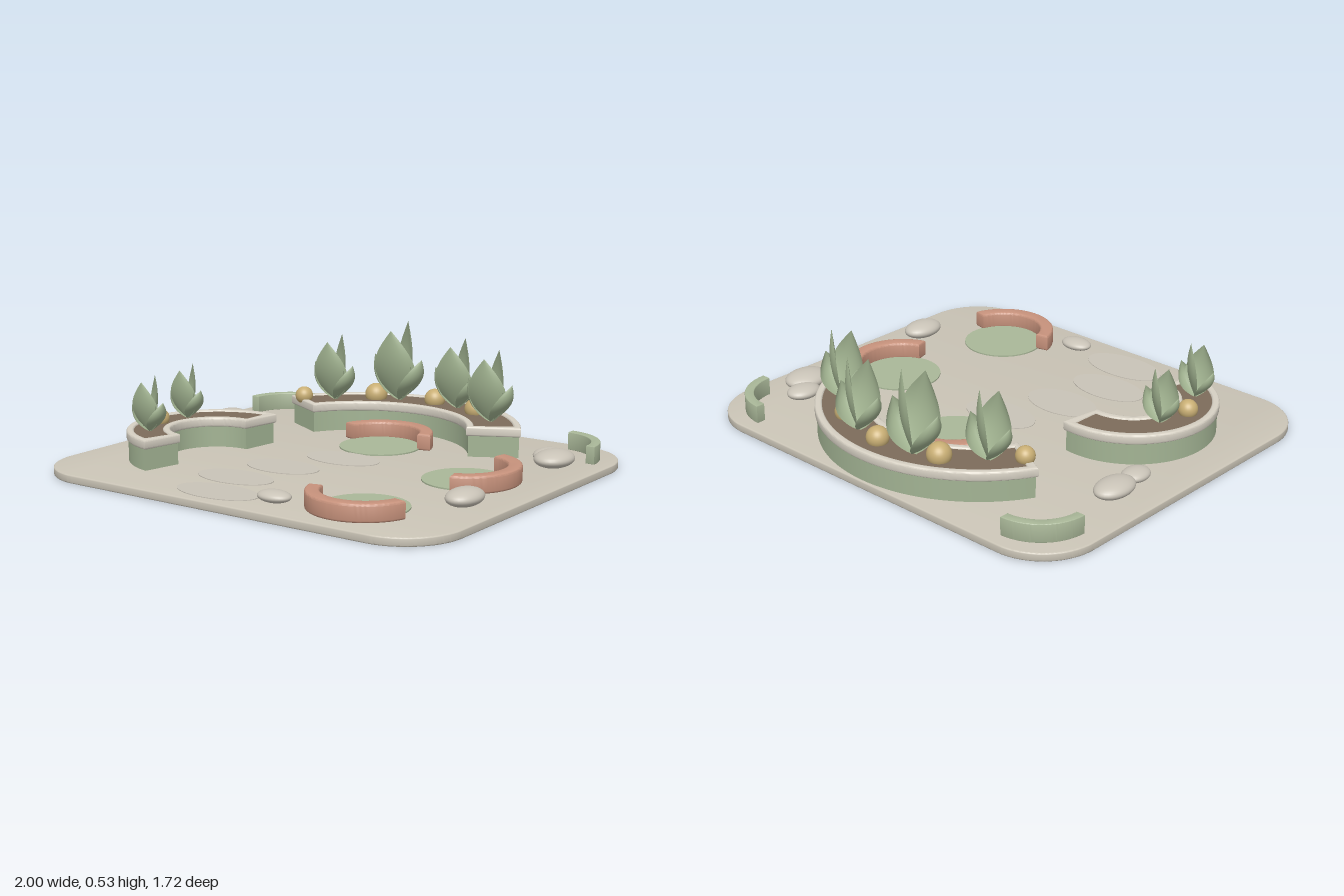
import * as THREE from 'three';
import { toCreasedNormals } from 'three/addons/utils/BufferGeometryUtils.js';

const mat = (name, color, side = THREE.FrontSide) => {
  const m = new THREE.MeshStandardMaterial({ color, side });
  m.name = name;
  return m;
};
const rad = THREE.MathUtils.degToRad;

export function createModel() {
  const M = {
    paving: mat('paving', 0xcac4b6),
    rim: mat('pale rim', 0xd6d0c3),
    stone: mat('stone', 0xc9c3b7),
    sage: mat('sage', 0xa9b798),
    wall: mat('planter green', 0xa3b494),
    leaf: mat('leaf', 0xa3b592, THREE.DoubleSide),
    clay: mat('terracotta', 0xc7927c),
    soil: mat('soil', 0x7d6c5a),
    ochre: mat('ochre', 0xc8ae74),
  };
  const root = new THREE.Group();
  root.name = 'gardenCourt';
  const add = (name, geo, material, x = 0, y = 0, z = 0, parent = root) => {
    const m = new THREE.Mesh(geo, material);
    m.name = name;
    m.position.set(x, y, z);
    parent.add(m);
    return m;
  };

  // Extrude a plan drawn in (x, z) between two heights, with a small bevel
  const slab = (shape, y0, y1, b) => {
    const g = new THREE.ExtrudeGeometry(shape, {
      depth: y1 - y0 - 2 * b, curveSegments: 32, bevelEnabled: b > 0,
      bevelThickness: b, bevelSize: b, bevelOffset: -b, bevelSegments: 3,
    });
    g.rotateX(Math.PI / 2).translate(0, y1 - b, 0);
    return toCreasedNormals(g, 0.6);
  };
  // Ring sector: angles in degrees from +x towards +z, shrunk by inset on all sides
  const sector = (r, R, a0, a1, inset = 0) => {
    const da = inset / ((r + R) / 2), s = rad(a0) + da, e = rad(a1) - da;
    const p = new THREE.Shape();
    p.absarc(0, 0, R - inset, s, e, false);
    p.absarc(0, 0, r + inset, e, s, true);
    p.closePath();
    return p;
  };

  // Paved base with rounded corners
  const X = 1, Z = 0.862, C = 0.26, base = new THREE.Shape();
  base.absarc(X - C, Z - C, C, 0, Math.PI / 2);
  base.absarc(C - X, Z - C, C, Math.PI / 2, Math.PI);
  base.absarc(C - X, C - Z, C, Math.PI, Math.PI * 1.5);
  base.absarc(X - C, C - Z, C, Math.PI * 1.5, Math.PI * 2);
  base.closePath();
  add('base', slab(base, 0, 0.036, 0.006), M.paving);

  // Curved planters: wall, rim frame and soil
  const planter = (name, x, z, r, R, a0, a1) => {
    const g = new THREE.Group();
    g.name = name;
    g.position.set(x, 0, z);
    root.add(g);
    add('planterWall', slab(sector(r, R, a0, a1, 0.008), 0.034, 0.13, 0), M.wall, 0, 0, 0, g);
    const frame = sector(r, R, a0, a1);
    frame.holes.push(sector(r, R, a0, a1, 0.032));
    add('planterRim', slab(frame, 0.128, 0.17, 0.008), M.rim, 0, 0, 0, g);
    add('planterSoil', slab(sector(r, R, a0, a1, 0.022), 0.129, 0.163, 0), M.soil, 0, 0, 0, g);
  };
  planter('backPlanter', 0, -0.157, 0.467, 0.703, 208, 332);
  planter('sidePlanter', -0.475, 0.262, 0.187, 0.375, 100, 278.5);

  // Round pads, each hugged by a curved bench
  [[0, -0.32, 270], [0.62, -0.033, -2], [0.525, 0.553, 90]].forEach(([x, z, a]) => {
    add('pad', new THREE.CylinderGeometry(0.181, 0.181, 0.02, 48), M.sage, x, 0.032, z);
    add('bench', slab(sector(0.174, 0.235, a - 76, a + 76), 0.034, 0.11, 0.01), M.clay, x, 0, z);
  });

  // Low curved kerbs in the back corners
  add('rightKerb', slab(sector(0.185, 0.225, 180, 270), 0.034, 0.115, 0.003), M.sage, -0.705, 0, -0.575);
  add('leftKerb', slab(sector(0.185, 0.225, 270, 360), 0.034, 0.115, 0.003), M.sage, 0.705, 0, -0.575);

  // Flat stepping stones: x, z, half width, half depth
  [[0, -0.035, 0.178, 0.105], [-0.123, 0.23, 0.175, 0.108],
    [-0.173, 0.485, 0.183, 0.104], [-0.083, 0.71, 0.196, 0.104]].forEach(([x, z, a, b]) => {
    add('steppingStone', new THREE.CylinderGeometry(1, 1, 0.012, 48), M.stone, x, 0.033, z).scale.set(a, 1, b);
  });

  // Rounded boulders: x, y, z, half sizes
  const ball = new THREE.SphereGeometry(1, 32, 20);
  [[-0.83, 0.078, -0.275, 0.07, 0.036, 0.103], [-0.808, 0.065, -0.115, 0.054, 0.027, 0.07],
    [0.75, 0.07, -0.5, 0.062, 0.03, 0.08], [0.825, 0.081, -0.415, 0.082, 0.038, 0.104],
    [0.845, 0.08, 0.335, 0.07, 0.037, 0.098], [0.21, 0.066, 0.717, 0.076, 0.025, 0.054],
  ].forEach(([x, y, z, a, b, c]) => add('boulder', ball, M.stone, x, y, z).scale.set(a, b, c));

  // Ochre globes resting on the soil: x, z, radius
  [[-0.53, -0.465, 0.041], [-0.272, -0.685, 0.052], [0.015, -0.745, 0.048],
    [0.282, -0.668, 0.05], [-0.745, 0.305, 0.042],
  ].forEach(([x, z, r]) => add('globe', ball, M.ochre, x, 0.183, z).scale.setScalar(r));

  // Pointed, cupped leaf growing up from the origin and leaning towards +z
  const leaf = (w, h, lean, cup) => {
    const g = new THREE.PlaneGeometry(1, 1, 8, 16), p = g.attributes.position;
    for (let i = 0; i < p.count; i++) {
      const u = p.getX(i) * 2, v = p.getY(i) + 0.5;
      const half = (w / 2) * (0.12 * (1 - v) + 0.94 * Math.sin(Math.PI * Math.pow(v, 0.88)));
      p.setXYZ(i, u * half, v * h, lean * Math.pow(v, 0.85) + cup * (1 - u * u) * Math.sin(Math.PI * v));
    }
    g.computeVertexNormals();
    return g;
  };
  // Leaves of one plant: name, geometry, yaw in degrees
  const leaves = [
    ['frontLeaf', leaf(0.225, 0.335, 0.075, 0.03), 0],
    ['backLeaf', leaf(0.22, 0.37, 0.04, 0.03), 140],
    ['leftLeaf', leaf(0.15, 0.205, 0.135, 0.04), 82],
    ['rightLeaf', leaf(0.15, 0.205, 0.135, 0.04), -88],
  ];
  // Plants: x, z, size
  [[-0.42, -0.56, 0.83], [-0.165, -0.72, 1], [0.153, -0.72, 0.87], [0.425, -0.56, 0.86],
    [-0.71, 0.16, 0.66], [-0.665, 0.46, 0.66],
  ].forEach(([x, z, s]) => {
    const plant = new THREE.Group();
    plant.name = 'plant';
    plant.position.set(x, 0.163, z);
    plant.scale.setScalar(s);
    root.add(plant);
    leaves.forEach(([name, geo, yaw]) => {
      add(name, geo, M.leaf, 0, 0, 0, plant).rotation.y = rad(yaw);
    });
  });

  return root;
}
